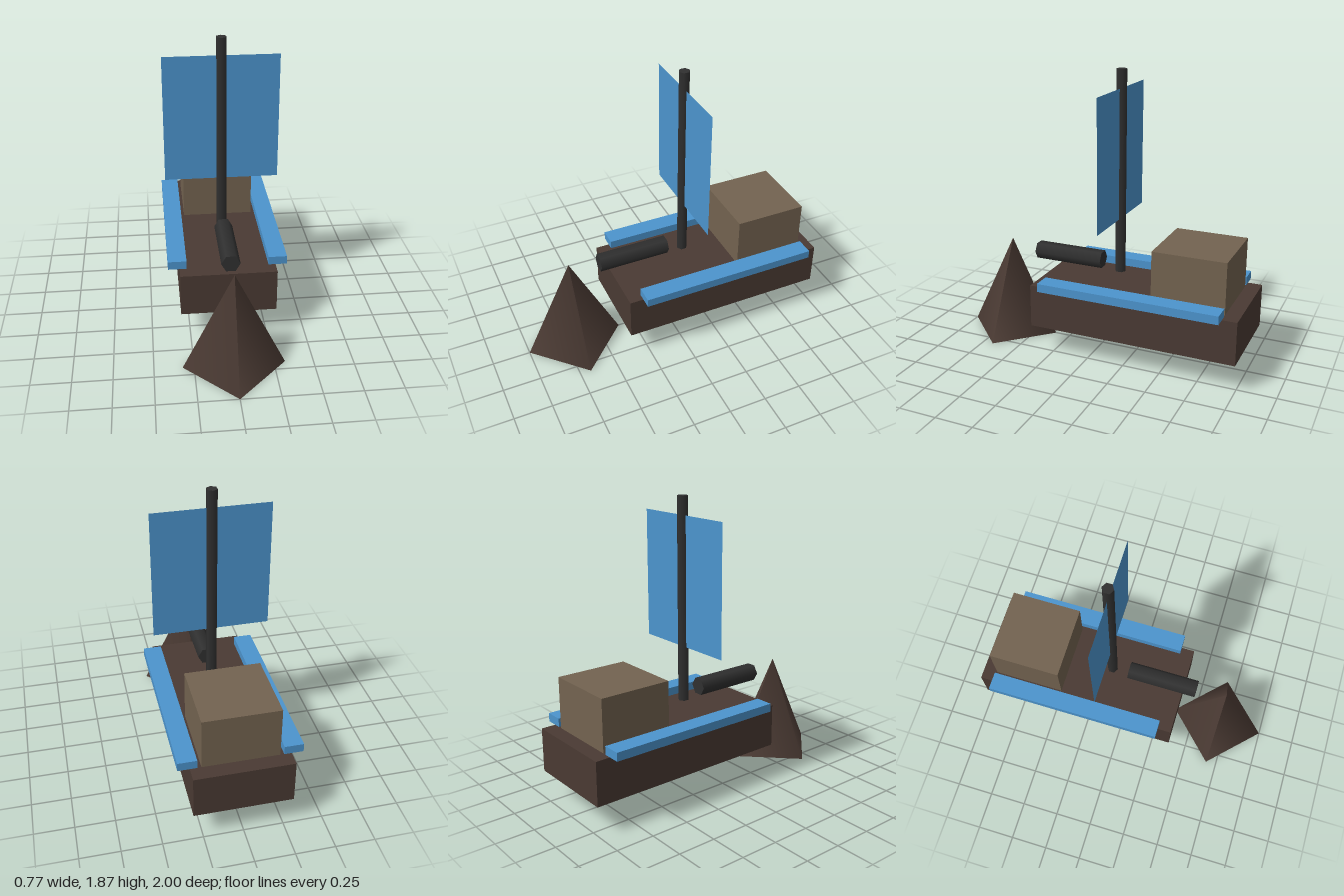
import * as THREE from 'three';

export function createModel() {
  const model = new THREE.Group();
  model.name = 'sailingShip';

  const colour = (name, hex) => {
    const m = new THREE.MeshStandardMaterial({ color: hex });
    m.name = name;
    return m;
  };
  const darkWood = colour('darkWood', 0x4a3a33);
  const paleWood = colour('paleWood', 0x736350);
  const blue = colour('blue', 0x4c94cd);
  const iron = colour('iron', 0x303030);
  const sailBlue = blue.clone();
  sailBlue.name = 'sailBlue';
  sailBlue.side = THREE.DoubleSide;

  const add = (name, geometry, material, x, y, z) => {
    const mesh = new THREE.Mesh(geometry, material);
    mesh.name = name;
    mesh.position.set(x, y, z);
    model.add(mesh);
    return mesh;
  };

  // Hull and the cabin at the stern
  add('hull', new THREE.BoxGeometry(0.62, 0.285, 1.38), darkWood, 0, 0.3325, -0.31);
  add('cabin', new THREE.BoxGeometry(0.48, 0.335, 0.475), paleWood, 0, 0.6425, -0.667);

  // Four-sided prow, smooth shaded
  add('prow', new THREE.ConeGeometry(0.322, 0.66, 4), darkWood, 0, 0.33, 0.678);

  // Side rails overhanging the hull
  for (const [name, side] of [['leftRail', 1], ['rightRail', -1]]) {
    add(name, new THREE.BoxGeometry(0.12, 0.055, 1.195), blue, side * 0.324, 0.5025, -0.308);
  }

  // Mast with a flat sail through its axis
  add('mast', new THREE.CylinderGeometry(0.036, 0.036, 1.32, 6), iron, 0, 1.21, -0.127);
  add('sail', new THREE.PlaneGeometry(0.746, 0.84), sailBlue, 0, 1.33, -0.127);

  // Hexagonal cannon pointing forward
  const barrel = new THREE.CylinderGeometry(0.06, 0.06, 0.477, 6).rotateZ(Math.PI / 2).rotateY(-Math.PI / 2);
  add('cannon', barrel, iron, 0, 0.609, 0.234);

  return model;
}
